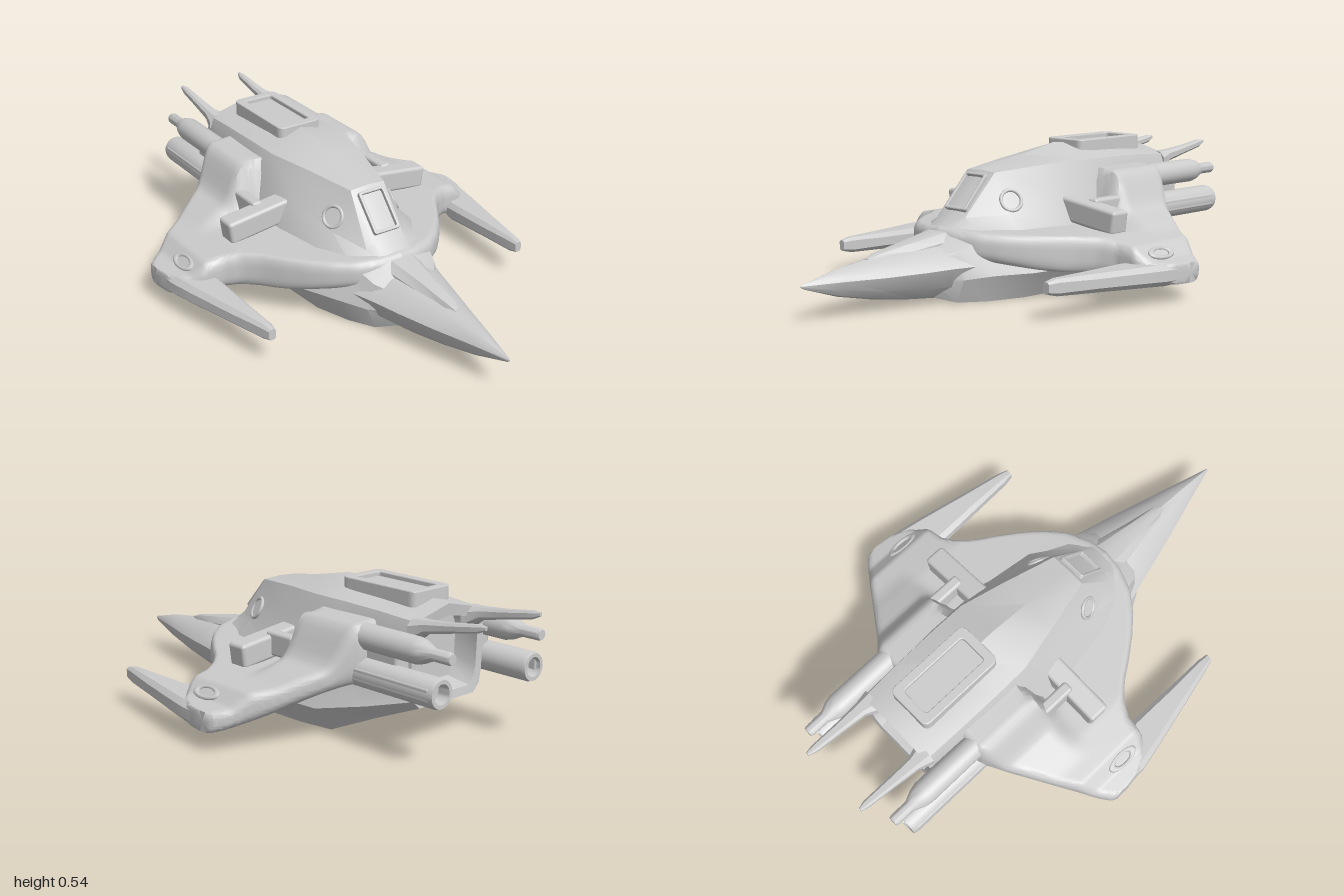
import * as THREE from 'three';
import { toCreasedNormals } from 'three/addons/utils/BufferGeometryUtils.js';
import { RoundedBoxGeometry } from 'three/addons/geometries/RoundedBoxGeometry.js';

const grey = new THREE.MeshStandardMaterial({ color: 0xcccccc });
const { smoothstep, lerp } = THREE.MathUtils;

function add(parent, name, geometry, x = 0, y = 0, z = 0) {
  const mesh = new THREE.Mesh(geometry, grey);
  mesh.name = name;
  mesh.position.set(x, y, z);
  parent.add(mesh);
  return mesh;
}

// Skin over closed rings of [x, y, z], each counter-clockwise seen from the next one, with end caps
function loft(rings, crease = 0.6) {
  const n = rings[0].length, index = [], points = rings.flat();
  for (let i = 0; i < rings.length - 1; i++) {
    for (let j = 0; j < n; j++) {
      const a = i * n + j, b = i * n + (j + 1) % n;
      index.push(a, b, b + n, a, b + n, a + n);
    }
  }
  [0, rings.length - 1].forEach((r) => {
    const c = points.length, ring = rings[r];
    points.push([0, 1, 2].map((k) => ring.reduce((s, p) => s + p[k], 0) / n));
    for (let j = 0; j < n; j++) {
      const a = r * n + j, b = r * n + (j + 1) % n;
      index.push(...(r ? [c, a, b] : [c, b, a]));
    }
  });
  const g = new THREE.BufferGeometry();
  g.setAttribute('position', new THREE.Float32BufferAttribute(points.flat(), 3));
  g.setIndex(index);
  return toCreasedNormals(g, crease);
}

// Symmetric ring from a right half profile running bottom centre to top centre
function mirrorRing(z, half) {
  const other = half.slice(1, -1).reverse().map(([x, y]) => [-x, y]);
  return [...half, ...other].map(([x, y]) => [x, y, z]);
}

// Chamfered rectangular ring
function boxRing([z, x0, x1, y0, y1]) {
  const c = Math.min(x1 - x0, y1 - y0) * 0.25;
  return [[x0 + c, y0], [x1 - c, y0], [x1, y0 + c], [x1, y1 - c], [x1 - c, y1],
    [x0 + c, y1], [x0, y1 - c], [x0, y0 + c]].map(([x, y]) => [x, y, z]);
}

// Piecewise linear lookup in [x, value] pairs
function table(pairs, x) {
  for (let i = 1; i < pairs.length; i++) {
    const [a, va] = pairs[i - 1], [b, vb] = pairs[i];
    if (x <= b) return lerp(va, vb, (x - a) / (b - a));
  }
  return pairs[pairs.length - 1][1];
}

function roundRect(target, w, h, r) {
  const x = w / 2, y = h / 2;
  target.moveTo(-x + r, -y).lineTo(x - r, -y).quadraticCurveTo(x, -y, x, -y + r)
    .lineTo(x, y - r).quadraticCurveTo(x, y, x - r, y)
    .lineTo(-x + r, y).quadraticCurveTo(-x, y, -x, y - r)
    .lineTo(-x, -y + r).quadraticCurveTo(-x, -y, -x + r, -y);
  return target;
}

function frame(w, h, border, depth, r) {
  const shape = roundRect(new THREE.Shape(), w, h, r);
  shape.holes.push(roundRect(new THREE.Path(), w - 2 * border, h - 2 * border, r * 0.5));
  return new THREE.ExtrudeGeometry(shape, { depth, bevelEnabled: true, bevelSize: 0.004,
    bevelThickness: 0.004, bevelOffset: -0.004, bevelSegments: 2 });
}

// Wing plate with rounded rim; the rear fairing is raised by a height rule
function wingGeometry() {
  const lead = [[0, 0.4], [0.08, 0.39], [0.17, 0.355], [0.24, 0.3], [0.3, 0.235], [0.36, 0.155], [0.41, 0.08],
    [0.46, 0.025], [0.52, -0.01], [0.6, -0.02], [0.66, -0.06], [0.69, -0.12], [0.698, -0.18]];
  const trail = [[0, -0.56], [0.27, -0.56], [0.66, -0.3], [0.69, -0.275], [0.698, -0.26]];
  const top = [[0, 0.265], [0.2, 0.25], [0.45, 0.235], [0.58, 0.21], [0.635, 0.16], [0.698, 0.145]];
  const bottom = [[0, 0.14], [0.3, 0.115], [0.45, 0.1], [0.6, 0.085], [0.698, 0.07]];
  const rings = [], nx = 56, nz = 40;
  for (let i = 0; i <= nx; i++) {
    const x = 0.698 * Math.sin((i / nx) * Math.PI / 2);
    const zl = table(lead, x), zt = table(trail, x), upper = [], lower = [];
    for (let j = 0; j <= nz; j++) {
      const z = lerp(zt, zl, 0.5 - 0.5 * Math.cos((j / nz) * Math.PI));
      const fairing = 0.135 * (1 - smoothstep(x, 0.27, 0.37)) + 0.055 * (1 - smoothstep(x, 0.3, 0.53));
      const yt = table(top, x) + fairing * smoothstep(-z, 0.2, 0.28);
      const yb = table(bottom, x) + 0.11 * smoothstep(-z, 0.25, 0.56) + 0.03 * smoothstep(z, 0.1, 0.4);
      const e = Math.min(1, Math.min(z - zt, zl - z) / 0.03);
      const round = 0.25 + 0.75 * Math.sqrt(Math.max(0, 1 - (1 - e) ** 2));
      const mid = (yt + yb) / 2;
      upper.push([x, lerp(mid, yt, round), z]);
      lower.unshift([x, lerp(mid, yb, round), z]);
    }
    rings.push([...lower, ...upper]);
  }
  return loft(rings, 0.8);
}

function buildSide(side) {
  add(side, 'wing', wingGeometry());

  // Forward-pointing wing tip prong
  add(side, 'wingProng', loft([[-0.24, 0.64, 0.696, 0.075, 0.14], [-0.1, 0.57, 0.692, 0.07, 0.15],
    [0, 0.535, 0.672, 0.075, 0.15], [0.2, 0.54, 0.627, 0.083, 0.15], [0.36, 0.544, 0.59, 0.09, 0.15],
    [0.4, 0.55, 0.578, 0.1, 0.142]].map(boxRing)));
  const ring = new THREE.TorusGeometry(0.024, 0.007, 8, 28).rotateX(Math.PI / 2).scale(1, 1, 2.2);
  add(side, 'tipSlotRing', ring, 0.617, 0.178, -0.145).rotation.z = -0.6;

  // Cross bar on the wing and its link to the fairing
  add(side, 'wingBar', new RoundedBoxGeometry(0.27, 0.09, 0.085, 3, 0.014), 0.318, 0.288, -0.11).rotation.z = -0.13;
  add(side, 'barLink', new RoundedBoxGeometry(0.045, 0.09, 0.14, 3, 0.012), 0.3, 0.3, -0.19);

  // Engines
  const lathe = (pts) => toCreasedNormals(
    new THREE.LatheGeometry(pts.map(([r, d]) => new THREE.Vector2(r, d)), 24).rotateX(-Math.PI / 2), 0.6);
  add(side, 'upperEngine', lathe([[0, 0], [0.047, 0], [0.047, 0.29], [0.04, 0.32], [0.022, 0.36],
    [0.022, 0.43], [0.018, 0.44], [0, 0.44]]), 0.23, 0.39, -0.5);
  add(side, 'lowerEngine', lathe([[0, 0], [0.054, 0], [0.054, 0.39], [0.05, 0.405], [0.036, 0.405],
    [0.032, 0.36], [0, 0.36]]), 0.238, 0.265, -0.5);
  add(side, 'engineRib', new RoundedBoxGeometry(0.025, 0.05, 0.37, 2, 0.008), 0.278, 0.265, -0.705);
  add(side, 'enginePylon', new RoundedBoxGeometry(0.08, 0.14, 0.2, 2, 0.015), 0.2, 0.325, -0.6);

  // Tail spike
  add(side, 'tailSpike', loft([[-1, 0.134, 0.146, 0.482, 0.496], [-0.97, 0.125, 0.153, 0.468, 0.497],
    [-0.85, 0.12, 0.16, 0.445, 0.48], [-0.75, 0.114, 0.168, 0.425, 0.47],
    [-0.69, 0.09, 0.183, 0.38, 0.468]].map(boxRing)));

  // Cabin porthole
  const porthole = add(side, 'porthole', new THREE.TorusGeometry(0.04, 0.007, 8, 28), 0.137, 0.35, 0.145);
  porthole.lookAt(0.137 + 0.8, 0.35 + 0.42, 0.145 + 0.35);
}

export function createModel() {
  const model = new THREE.Group();
  model.name = 'spacecraft';

  // Hull: [z, belly y, belly half width, bilge, waist, cabin side, shoulder, ridge height]
  const hull = (z, yb, wb, bilge, waist, side, shoulder, top) =>
    mirrorRing(z, [[0, yb], [wb, yb], bilge, waist, side, shoulder, [0, top]]);
  add(model, 'hull', loft([
    hull(-0.62, 0.2, 0.11, [0.13, 0.23], [0.14, 0.27], [0.145, 0.38], [0.13, 0.42], 0.44),
    hull(-0.71, 0.18, 0.12, [0.145, 0.21], [0.155, 0.25], [0.16, 0.39], [0.14, 0.43], 0.455),
    hull(-0.715, 0.15, 0.14, [0.17, 0.18], [0.18, 0.24], [0.185, 0.4], [0.165, 0.46], 0.5),
    hull(-0.55, 0.085, 0.18, [0.24, 0.14], [0.2, 0.25], [0.19, 0.41], [0.17, 0.47], 0.51),
    hull(-0.36, 0.003, 0.22, [0.3, 0.1], [0.24, 0.24], [0.195, 0.42], [0.172, 0.475], 0.52),
    hull(-0.22, 0, 0.235, [0.31, 0.1], [0.25, 0.24], [0.2, 0.4], [0.17, 0.475], 0.53),
    hull(-0.05, 0, 0.24, [0.315, 0.1], [0.25, 0.24], [0.19, 0.36], [0.13, 0.468], 0.495),
    hull(0.17, 0, 0.225, [0.285, 0.1], [0.22, 0.24], [0.155, 0.3], [0.075, 0.45], 0.455),
    hull(0.31, 0, 0.18, [0.225, 0.1], [0.17, 0.235], [0.1, 0.27], [0.065, 0.295], 0.3),
    hull(0.41, 0.003, 0.13, [0.165, 0.09], [0.14, 0.19], [0.085, 0.22], [0.04, 0.235], 0.24),
    hull(0.5, 0.03, 0.04, [0.08, 0.09], [0.07, 0.15], [0.05, 0.17], [0.02, 0.18], 0.18),
  ], 0.5));

  // Pointed nose: [z, half width, bottom y, top y]
  const nose = [[0.3, 0.2, 0.004, 0.225], [0.45, 0.158, 0.006, 0.222], [0.55, 0.132, 0.016, 0.21],
    [0.7, 0.09, 0.04, 0.19], [0.85, 0.046, 0.073, 0.17], [0.99, 0.006, 0.12, 0.138], [1, 0.001, 0.127, 0.132]];
  add(model, 'nose', loft(nose.map(([z, w, b, t]) => {
    const at = (f) => lerp(b, t, f);
    return mirrorRing(z, [[0, b], [w * 0.45, at(0.06)], [w * 0.8, at(0.27)], [w, at(0.6)],
      [w * 0.85, at(0.73)], [w * 0.45, at(0.92)], [0, t]]);
  }), 0.55));
  add(model, 'noseRidge', loft([[0.28, 0.095, 0.27], [0.4, 0.075, 0.245], [0.55, 0.048, 0.222], [0.68, 0.03, 0.2],
    [0.72, 0.015, 0.186]].map(([z, w, t]) =>
    mirrorRing(z, [[0, 0.13], [w, 0.13], [w, t - 0.025], [w * 0.6, t], [0, t + 0.004]])), 0.5));

  // Windscreen frame on the sloped cabin front
  add(model, 'windscreenFrame', frame(0.115, 0.17, 0.012, 0.014, 0.012), 0, 0.373, 0.238).rotation.x = -0.735;

  // Roof hatch with a sunken panel
  const hatch = new THREE.Group();
  hatch.name = 'roofHatch';
  hatch.position.set(0, 0.48, -0.46);
  hatch.rotation.x = -Math.PI / 2;
  add(hatch, 'hatchFrame', frame(0.19, 0.36, 0.036, 0.056, 0.03));
  add(hatch, 'hatchPanel', new THREE.BoxGeometry(0.13, 0.3, 0.046), 0, 0, 0.02);
  model.add(hatch);

  // Mirrored wings, engines and tail spikes
  [['leftSide', 1], ['rightSide', -1]].forEach(([name, s]) => {
    const side = new THREE.Group();
    side.name = name;
    buildSide(side);
    side.scale.x = s;
    model.add(side);
  });
  return model;
}
